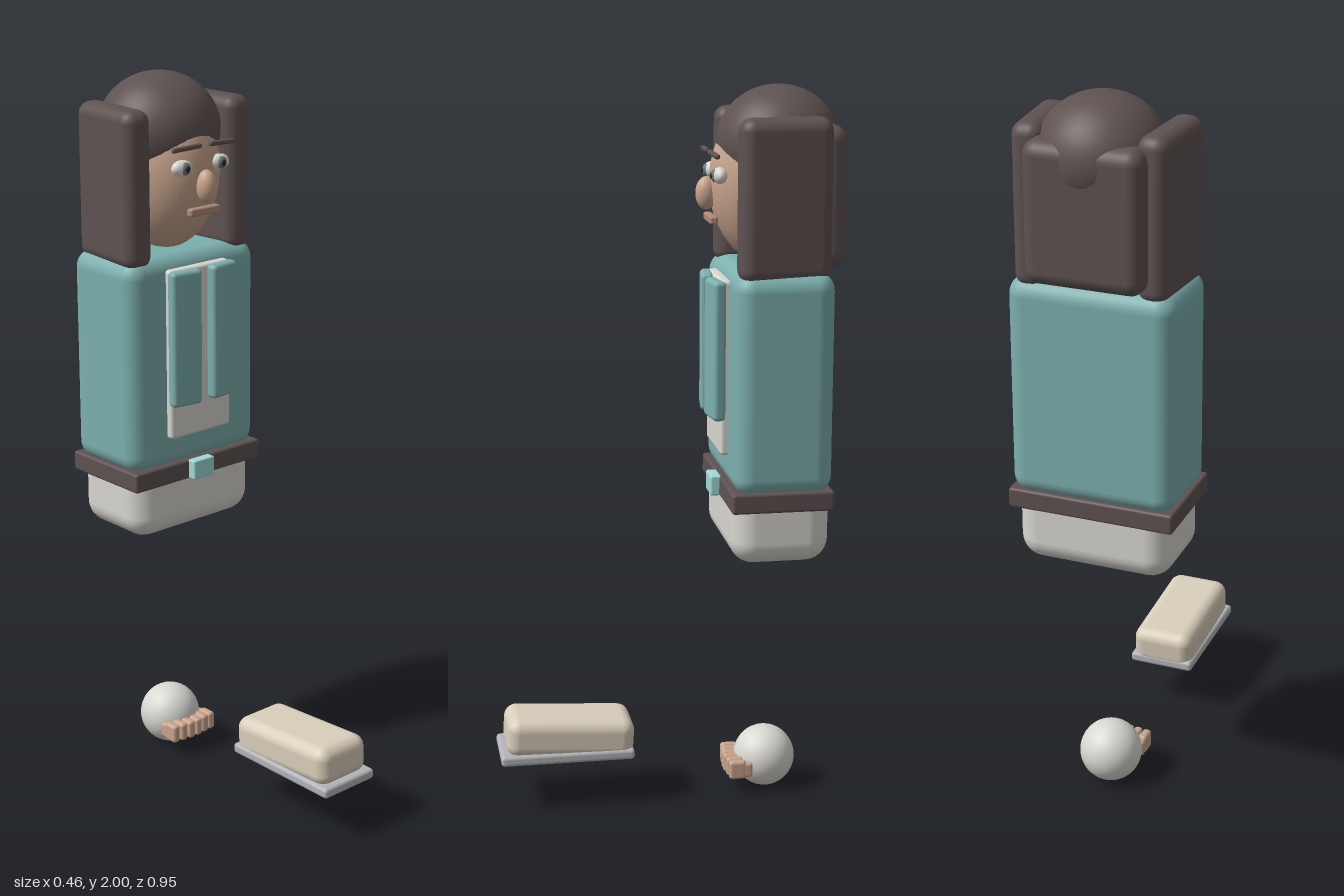
import * as THREE from 'three';
import { RoundedBoxGeometry } from 'three/addons/geometries/RoundedBoxGeometry.js';

const COLORS = {
  teal: 0x7cb0ae, hair: 0x5e5251, skin: 0xc9a58d, white: 0xd9d7d1, buckle: 0xa0dad8,
  iris: 0x66777c, pupil: 0x22262a, lip: 0xb08a78, shoe: 0xd9cebb, sole: 0xb2b4b8,
};

export function createModel() {
  const model = new THREE.Group();
  const mats = {};
  for (const k in COLORS) mats[k] = new THREE.MeshStandardMaterial({ color: COLORS[k] });

  const add = (name, geo, color, pos, rot = [0, 0, 0]) => {
    const m = new THREE.Mesh(geo, mats[color]);
    m.name = name;
    m.position.set(...pos);
    m.rotation.set(...rot);
    model.add(m);
    return m;
  };
  // rounded block: size, corner radius, centre
  const block = (name, color, [w, h, d], r, pos, rot) =>
    add(name, new RoundedBoxGeometry(w, h, d, 4, r), color, pos, rot);
  // ellipsoid: radii, centre
  const ball = (name, color, radii, pos, seg = 40) =>
    add(name, new THREE.SphereGeometry(1, seg, Math.round(seg * 0.7)).scale(...radii), color, pos);

  // Body
  block('torso', 'teal', [0.456, 0.605, 0.27], 0.05, [0, 1.222, -0.29]);
  block('hips', 'white', [0.43, 0.23, 0.272], 0.065, [0, 0.838, -0.288]);
  block('belt', 'hair', [0.46, 0.056, 0.28], 0.008, [0, 0.907, -0.286]);
  block('buckle', 'buckle', [0.075, 0.056, 0.03], 0.005, [-0.002, 0.908, -0.137]);
  block('shirtFront', 'white', [0.216, 0.48, 0.04], 0.01, [-0.002, 1.252, -0.155]);

  // Head
  ball('head', 'skin', [0.142, 0.225, 0.17], [0, 1.742, -0.29]);
  ball('nose', 'skin', [0.027, 0.045, 0.03], [0, 1.714, -0.112], 24);
  block('mouth', 'lip', [0.105, 0.022, 0.022], 0.006, [0, 1.646, -0.124]);

  // Hair
  ball('hairCap', 'hair', [0.169, 0.154, 0.167], [0, 1.846, -0.306], 48);
  block('hairBack', 'hair', [0.32, 0.375, 0.1], 0.04, [0, 1.715, -0.415]);

  // Mirrored parts
  for (const s of [-1, 1]) {
    block('lapel', 'teal', [0.096, 0.382, 0.035], 0.012, [s * 0.067, 1.3, -0.126], [0, s * 0.14, 0]);
    block('hairSide', 'hair', [0.085, 0.43, 0.25], 0.035, [s * 0.172, 1.714, -0.29], [0, s * 0.07, 0]);
    ball('eye', 'white', [0.033, 0.022, 0.02], [s * 0.066, 1.768, -0.136], 24);
    ball('iris', 'iris', [0.016, 0.017, 0.01], [s * 0.064, 1.768, -0.122], 16);
    ball('pupil', 'pupil', [0.008, 0.009, 0.005], [s * 0.064, 1.768, -0.114], 12);
    block('eyebrow', 'hair', [0.096, 0.013, 0.014], 0.005, [s * 0.063, 1.824, -0.119], [0, s * 0.06, s * -0.04]);
  }

  // Shoe on its sole
  block('shoeUpper', 'shoe', [0.178, 0.112, 0.358], 0.035, [-0.002, 0.199, 0.277], [-0.06, 0, 0]);
  block('shoeSole', 'sole', [0.188, 0.03, 0.375], 0.01, [-0.002, 0.15, 0.287]);

  // Round cuff with a row of fingers
  ball('cuff', 'white', [0.087, 0.088, 0.087], [0, 0.088, -0.288]);
  block('palm', 'skin', [0.145, 0.045, 0.06], 0.015, [0, 0.073, -0.215]);
  for (let i = 0; i < 6; i++) {
    const x = (i - 2.5) * 0.027;
    const reach = 0.008 * Math.abs(i - 2.5) / 2.5;
    block('finger', 'skin', [0.024, 0.054, 0.048], 0.009, [x, 0.075, -0.19 - reach]);
    block('fingerBase', 'skin', [0.022, 0.045, 0.04], 0.009, [x, 0.073, -0.222]);
  }
  return model;
}
